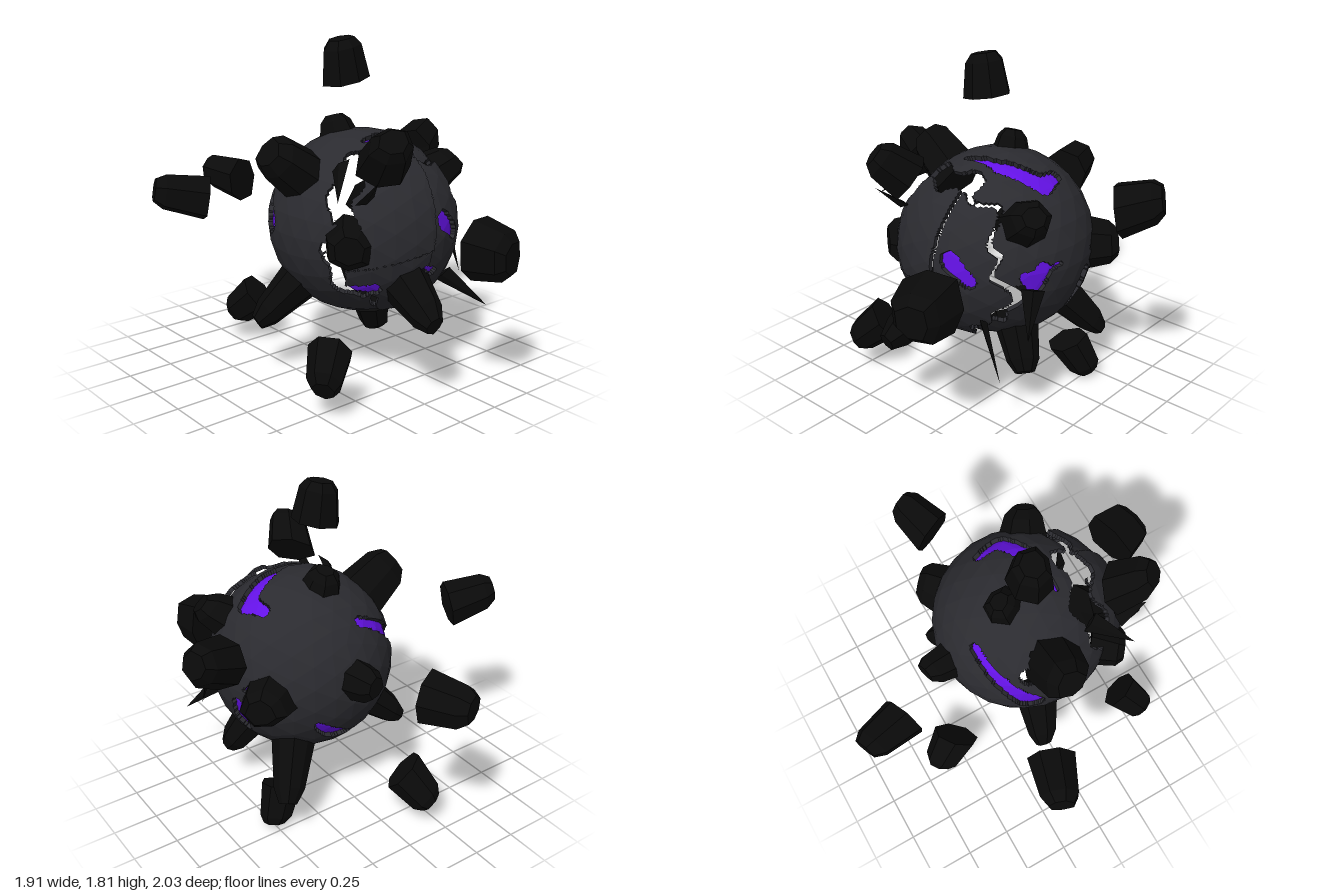
import * as THREE from 'three';

const CENTER = new THREE.Vector3(0.12, 0.82, 0.1);
const R = 0.5;
const V = (x, y, z) => new THREE.Vector3(x, y, z);
const shellMat = new THREE.MeshStandardMaterial({ color: 0x2b2b30, flatShading: true });
const rockMat = new THREE.MeshStandardMaterial({ color: 0x0a0a0a, flatShading: true });
const glowMat = new THREE.MeshStandardMaterial({ color: 0x6412e6, flatShading: true });

// Repeatable noise in -1..1 from a number
const hash = (n) => { const s = Math.sin(n * 127.1 + 11.7) * 43758.5453; return (s - Math.floor(s)) * 2 - 1; };

// Cracks on the globe: start, end, half width at start and end (relative to the globe's centre)
const CRACKS = [
  [0.29, 0.4, -0.1, 0.3, 0.38, 0.03, 0.035, 0.06],
  [0.3, 0.38, 0.03, 0.12, 0.46, 0.12, 0.06, 0.055],
  [0.12, 0.46, 0.12, -0.1, 0.46, 0.14, 0.045, 0.015],
  [-0.13, 0.32, -0.36, -0.33, 0.18, -0.3, 0.03, 0.05],
  [-0.33, 0.18, -0.3, -0.45, 0.03, -0.2, 0.045, 0.075],
  [0.18, -0.17, -0.43, 0.08, -0.26, -0.42, 0.025, 0.05],
  [0.08, -0.26, -0.42, -0.09, -0.33, -0.36, 0.05, 0.02],
  [0.46, -0.1, -0.12, 0.43, -0.22, -0.09, 0.05, 0.05],
  [0.43, -0.22, -0.09, 0.36, -0.33, -0.07, 0.05, 0.015],
  [0.45, 0.02, 0.2, 0.43, -0.08, 0.26, 0.05, 0.06],
  [0.49, 0.04, 0.1, 0.42, 0.0, 0.29, 0.012, 0.03],
  [0.46, 0.1, -0.3, 0.47, 0.02, -0.18, 0.025, 0.012],
  [0.12, 0.09, 0.48, 0.22, 0.0, 0.45, 0.055, 0.04],
  [0.06, -0.18, 0.46, -0.02, -0.14, 0.48, 0.025, 0.012],
  [-0.26, -0.24, 0.36, -0.34, -0.24, 0.27, 0.04, 0.03],
  [-0.32, 0.36, -0.12, -0.36, 0.34, 0.02, 0.02, 0.03],
].map((c) => ({ line: new THREE.Line3(V(c[0], c[1], c[2]).setLength(R), V(c[3], c[4], c[5]).setLength(R)), w0: c[6], w1: c[7] }));

const near = V(0, 0, 0);
function inCrack(p) {
  return CRACKS.some(({ line, w0, w1 }) => {
    const t = line.closestPointToPointParameter(p, true);
    line.at(t, near);
    return near.distanceTo(p) < w0 + (w1 - w0) * t;
  });
}

// Sort a point of the globe into main body, one of three loose front plates, or open gap
const HOLE = V(-0.39, 0.25, -0.18).setLength(R);
function pieceAt(p) {
  if (p.distanceTo(HOLE) < 0.055) return -1;
  const a = Math.atan2(p.y, p.x);
  const right = Math.max(0, Math.cos(a));
  const rim = 0.29 + 0.07 * right + 0.03 * Math.sin(5 * a) + 0.025 * Math.sin(11 * a + 1);
  if (p.z > rim) return p.x > 0.02 + 0.1 * p.y ? 1 : p.y > -0.05 + 0.2 * p.x ? 2 : 3;
  const width = a > 1.3 && a < 2.9 ? 0.085 : (a < -0.1 && a > -0.8) || a < -2.2 ? 0.045 : 0;
  return p.z > rim - width ? -1 : 0;
}
const OFFSETS = [V(0, 0, 0), V(0.005, -0.005, 0.045), V(0, 0, 0.065), V(-0.005, -0.005, 0.055)];

// Faceted globe, each facet split finely so cracks and gaps can be cut out
function buildGlobe(group) {
  const N = 8;
  const src = new THREE.IcosahedronGeometry(R, 4).attributes.position;
  const tris = [];
  const edges = new Map();
  const keyOf = (p) => `${Math.round(p.x * 5000)},${Math.round(p.y * 5000)},${Math.round(p.z * 5000)}`;
  const add = (...c) => {
    const mid = V(0, 0, 0).add(c[0]).add(c[1]).add(c[2]).setLength(R);
    const piece = pieceAt(mid);
    const kind = piece < 0 ? 'gap' : (inCrack(mid) ? 'crack' : 'shell') + piece;
    const k = c.map(keyOf);
    tris.push({ c, k, piece, kind });
    for (let i = 0; i < 3; i++) edges.set(k[i] + '|' + k[(i + 1) % 3], kind);
  };
  for (let f = 0; f < src.count; f += 3) {
    const [a, b, c] = [0, 1, 2].map((i) => V(0, 0, 0).fromBufferAttribute(src, f + i));
    const u = b.clone().sub(a).divideScalar(N), v = c.clone().sub(a).divideScalar(N);
    const at = (i, j) => a.clone().addScaledVector(u, i).addScaledVector(v, j);
    for (let i = 0; i < N; i++) for (let j = 0; j < N - i; j++) {
      add(at(i, j), at(i + 1, j), at(i, j + 1));
      if (i + j < N - 1) add(at(i + 1, j), at(i + 1, j + 1), at(i, j + 1));
    }
  }
  const shell = [], glow = [];
  for (const { c, k, piece, kind } of tris) {
    if (kind === 'gap') continue;
    const put = (list, p, s) => { const q = p.clone().multiplyScalar(s).add(OFFSETS[piece]); list.push(q.x, q.y, q.z); };
    if (kind.startsWith('crack')) { c.forEach((p) => put(glow, p, 0.95)); continue; }
    c.forEach((p) => put(shell, p, 1));
    // Broken edges get a wall of shell thickness
    for (let i = 0; i < 3; i++) {
      const n = (i + 1) % 3, a = c[i], b = c[n];
      if (edges.get(k[n] + '|' + k[i]) === kind) continue;
      [[b, 1], [a, 1], [a, 0.95], [b, 1], [a, 0.95], [b, 0.95]].forEach(([p, s]) => put(shell, p, s));
    }
  }
  for (const [name, list, mat] of [['crackedShell', shell, shellMat], ['glowingCracks', glow, glowMat]]) {
    const g = new THREE.BufferGeometry();
    g.setAttribute('position', new THREE.Float32BufferAttribute(list, 3));
    g.computeVertexNormals();
    const m = new THREE.Mesh(g, mat);
    m.name = name;
    m.position.copy(CENTER);
    group.add(m);
  }
}

// Irregular tapered stone with its narrow end along +y
function stone(r, h, tip, seed) {
  const pts = [[0, -0.5], [1, -0.5], [tip + (1 - tip) * 0.3, 0.3], [tip * 0.75, 0.5], [0, 0.5]]
    .map(([x, y]) => new THREE.Vector2(x * r, y * h));
  const g = new THREE.LatheGeometry(pts, 7).toNonIndexed();
  const p = g.attributes.position;
  for (let i = 0; i < p.count; i++) {
    const x = p.getX(i), y = p.getY(i), z = p.getZ(i);
    if (Math.hypot(x, z) < 1e-4) continue;
    const side = ((Math.round((Math.atan2(x, z) / (2 * Math.PI)) * 7) % 7) + 7) % 7;
    const s = 1 + 0.13 * hash(side + seed * 9);
    p.setXYZ(i, x * s, y + 0.2 * x * hash(seed) + 0.15 * z * hash(seed + 5), z * s);
  }
  g.computeVertexNormals();
  return g;
}

function place(group, name, geo, pos, dir) {
  const m = new THREE.Mesh(geo, rockMat);
  m.name = name;
  m.position.copy(pos);
  m.quaternion.setFromUnitVectors(V(0, 1, 0), dir.clone().normalize());
  group.add(m);
}

export function createModel() {
  const group = new THREE.Group();
  group.name = 'crackedRockGlobe';
  buildGlobe(group);

  // Loose stones floating around the globe: centre, radius, height
  [
    [0.01, 1.69, 0.085, 0.118, 0.22], [-0.8, 1.045, -0.23, 0.125, 0.27], [0.815, 1.12, -0.165, 0.135, 0.24],
    [-0.18, 0.205, -0.575, 0.13, 0.23], [0.465, 0.115, -0.155, 0.11, 0.22], [0.325, 0.765, 0.885, 0.175, 0.21],
    [-0.115, 0.925, -0.86, 0.14, 0.27], [-0.145, 1.3, 0.61, 0.135, 0.23], [-0.455, 0.235, 0.53, 0.12, 0.22],
  ].forEach(([x, y, z, r, h], i) => {
    const pos = V(x, y, z);
    place(group, 'floatingStone', stone(r, h, 0.7, i + 1), pos, pos.clone().sub(CENTER));
  });

  // Studs and long spikes rooted in the globe: direction, reach, base radius, tip ratio
  [
    [-0.57, -0.52, -0.18, 0.79, 0.13, 0.45], [0.38, -0.6, -0.43, 0.82, 0.12, 0.5],
    [0.36, -0.58, 0.22, 0.72, 0.12, 0.55], [-0.13, -0.36, 0.69, 0.82, 0.145, 0.45],
    [0.43, 0.31, 0.26, 0.62, 0.145, 0.55], [-0.39, 0, 0.38, 0.59, 0.14, 0.7],
    [-0.52, 0.39, -0.04, 0.72, 0.155, 0.7], [-0.05, 0.55, -0.16, 0.58, 0.13, 0.5],
    [0.48, 0, -0.37, 0.62, 0.155, 0.65], [-0.04, 0.08, -0.62, 0.63, 0.12, 0.65],
  ].forEach(([x, y, z, reach, r, tip], i) => {
    const dir = V(x, y, z).normalize(), root = 0.4;
    const pos = CENTER.clone().addScaledVector(dir, (root + reach) / 2);
    place(group, tip < 0.6 && reach > 0.7 ? 'spike' : 'stud', stone(r, reach - root, tip, i + 20), pos, dir);
  });

  // Thin splinters along the broken front rim: foot and tip
  [
    [0.36, 0.56, 0.5, 0.58, 0.36, 0.63], [-0.2, 1.2, 0.32, -0.37, 1.07, 0.5],
    [-0.2, 1.05, 0.5, -0.24, 1.17, 0.64], [0.55, 0.75, 0.35, 0.58, 0.5, 0.42],
  ].forEach((s) => {
    const a = V(s[0], s[1], s[2]), d = V(s[3], s[4], s[5]).sub(a);
    const geo = new THREE.ConeGeometry(0.06, d.length(), 4).scale(1, 1, 0.3).toNonIndexed();
    geo.computeVertexNormals();
    place(group, 'splinter', geo, a.clone().addScaledVector(d, 0.5), d);
  });
  return group;
}
